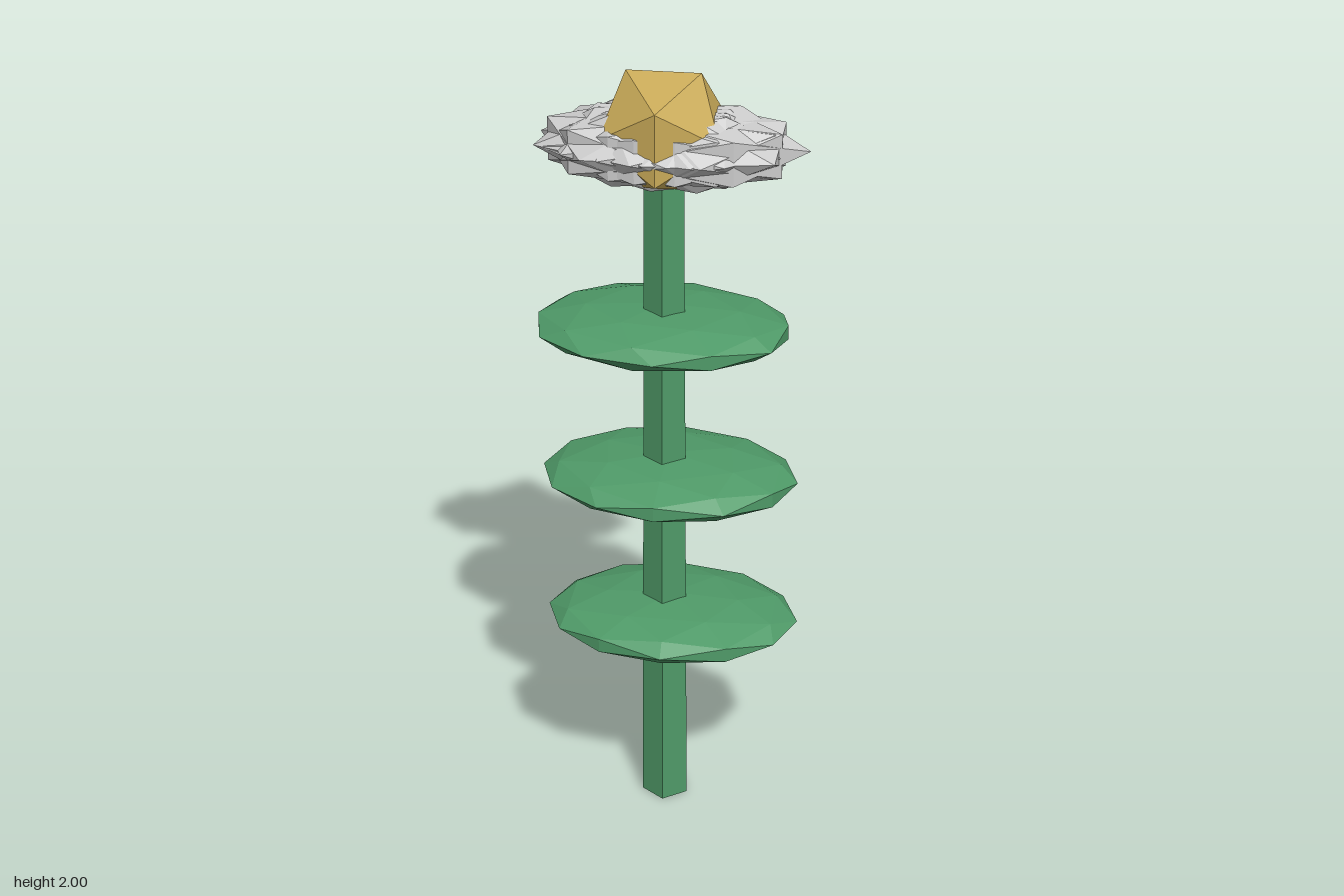
import * as THREE from 'three';

const material = (color) => new THREE.MeshStandardMaterial({ color, flatShading: true });

export function createModel() {
  const model = new THREE.Group();
  const green = material(0x4f9a68), gold = material(0xc9aa58), grey = material(0xcccccc);

  const add = (name, geometry, mat, x, y, z, parent = model) => {
    const mesh = new THREE.Mesh(geometry, mat);
    mesh.name = name;
    mesh.position.set(x, y, z);
    parent.add(mesh);
    return mesh;
  };

  // Faceted blob: turned about y first, then squashed along the axes
  const blob = (detail, yaw, sx, sy, sz) =>
    new THREE.IcosahedronGeometry(1, detail).rotateY(yaw).scale(sx, sy, sz);

  // Five-sided tapering stem
  add('stem', new THREE.CylinderGeometry(0.05, 0.062, 1.8, 5), green, -0.009, 0.9, 0.004);

  // Three flat leaf discs, each turned a little more than the one below
  const centres = [[0.01, 0.01], [0.002, 0], [-0.017, -0.01]];
  centres.forEach(([x, z], i) =>
    add('leaf' + (i + 1), blob(1, i * 0.52, 0.321, 0.06, 0.228), green, x, 0.55 + 0.4 * i, z));

  // Spiky petals: overlapping blobs fanned about the stem
  const petals = new THREE.Group();
  petals.name = 'petals';
  model.add(petals);
  const count = 12;
  for (let i = 0; i < count; i++) {
    const shift = 0.03 * Math.cos((i / count) * Math.PI * 2);
    add('petal' + (i + 1), blob(0, 0.553 + 0.693 * i, 0.302, 0.103, 0.154), grey,
      shift, 1.8225, 0.003, petals);
  }

  // Golden flower centre
  add('flowerCentre', new THREE.IcosahedronGeometry(0.168, 0), gold, -0.012, 1.857, 0.004);

  return model;
}
